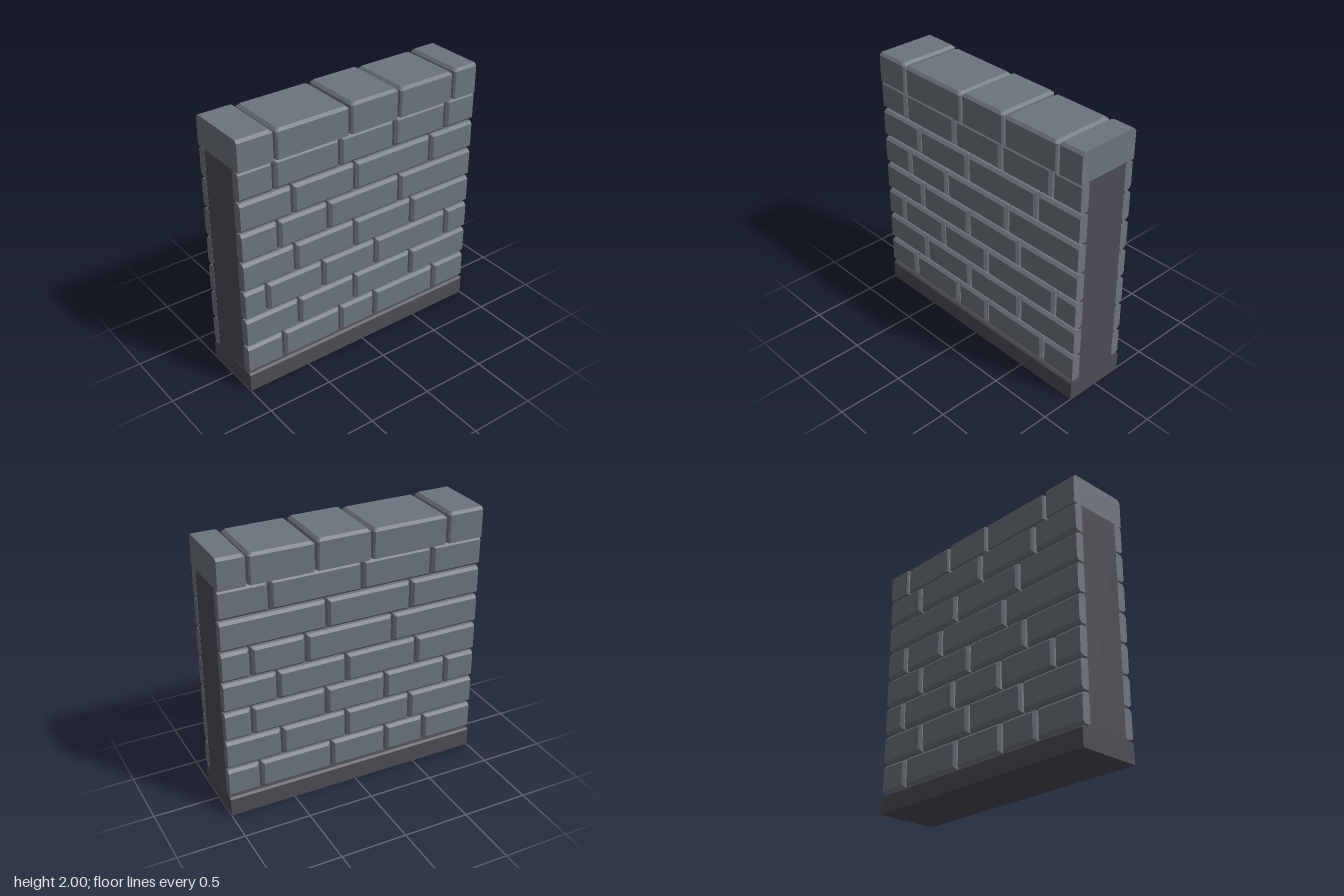
import * as THREE from 'three';

const stone = new THREE.MeshStandardMaterial({ color: 0x6d747d });
stone.name = 'slate stone';
const mortar = new THREE.MeshStandardMaterial({ color: 0x4d4c55 });
mortar.name = 'dark mortar';

// Block along z with bevelled front and back rims; sides lying on the wall ends stay flush
function block(x0, x1, y0, y1, z0, z1, bevel, backBevel, cut) {
  const l = x0 <= -0.999 ? 0 : 1, r = x1 >= 0.999 ? 0 : 1;
  const ring = (inset, z) => {
    const a = x0 + inset * l, b = x1 - inset * r, c = y0 + inset, d = y1 - inset;
    const p = cut * l, q = cut * r;
    return [[a + p, c], [b - q, c], [b, c + q], [b, d - q], [b - q, d], [a + p, d], [a, d - p], [a, c + p]]
      .map(([x, y]) => [x, y, z]);
  };
  const rings = [ring(backBevel, z0), ring(0, z0 + backBevel), ring(0, z1 - bevel), ring(bevel, z1)];
  const pos = [];
  const tri = (a, b, c) => pos.push(...a, ...b, ...c);
  for (let k = 0; k < 3; k++) {
    for (let i = 0; i < 8; i++) {
      const j = (i + 1) % 8, A = rings[k], B = rings[k + 1];
      tri(A[i], A[j], B[j]);
      tri(A[i], B[j], B[i]);
    }
  }
  for (let i = 1; i < 7; i++) {
    tri(rings[3][0], rings[3][i], rings[3][i + 1]);
    tri(rings[0][0], rings[0][i + 1], rings[0][i]);
  }
  const geo = new THREE.BufferGeometry();
  geo.setAttribute('position', new THREE.Float32BufferAttribute(pos, 3));
  geo.computeVertexNormals();
  return geo;
}

function add(parent, name, geo, mat) {
  const mesh = new THREE.Mesh(geo, mat);
  mesh.name = name;
  parent.add(mesh);
  return mesh;
}

// Calls fn for every span between neighbouring joints, leaving a gap at each joint
function spans(joints, gap, fn) {
  const e = [-1, ...joints, 1];
  for (let i = 0; i < e.length - 1; i++) {
    fn(e[i] + (i ? gap / 2 : 0), e[i + 1] - (i < e.length - 2 ? gap / 2 : 0), i);
  }
}

// Vertical joints of each course, bottom to top, as seen facing each side
const frontJoints = [
  [-0.7, -0.2, 0.12, 0.7],
  [-0.56, -0.07, 0.46],
  [-0.82, -0.35, 0.12, 0.8],
  [-0.58, -0.07, 0.45],
  [-0.71, -0.3, 0.33],
  [-0.59, -0.07, 0.61],
  [-0.73, -0.2, 0.27, 0.74],
];
const backJoints = [
  [-0.755, -0.19, 0.26, 0.59],
  [-0.58, -0.07, 0.46],
  [-0.8, -0.23, 0.25, 0.76],
  [-0.6, -0.07, 0.5],
  [-0.79, -0.38, 0.3],
  [-0.22, 0.44],
  [-0.64, 0.05, 0.6],
];

function brickFace(name, courses, depth) {
  const face = new THREE.Group();
  face.name = name;
  courses.forEach((joints, row) => {
    const y = 0.16 + row * 0.2325;
    spans(joints, 0.016, (a, b) =>
      add(face, 'brick', block(a, b, y, y + 0.217, 0.17, depth, 0.02, 0.012, 0.004), stone));
  });
  return face;
}

export function createModel() {
  const wall = new THREE.Group();
  wall.name = 'brickWall';

  // Mortar core, just inside the brick ends
  const core = add(wall, 'core', new THREE.BoxGeometry(1.997, 1.685, 0.376), mortar);
  core.position.y = 0.9425;

  // Plinth with a bevelled top rim
  add(wall, 'plinth', block(-1, 1, -0.245, 0.245, 0, 0.15, 0.014, 0, 0).rotateX(-Math.PI / 2), mortar);

  // Brick courses on both sides
  wall.add(brickFace('frontBricks', frontJoints, 0.24));
  const back = brickFace('backBricks', backJoints, 0.237);
  back.rotation.y = Math.PI;
  wall.add(back);

  // Coping stones of slightly uneven height
  const tops = [2, 1.99, 2, 1.992, 2];
  spans([-0.717, -0.12, 0.3, 0.79], 0.018, (a, b, i) =>
    add(wall, 'copingStone',
      block(a, b, -0.245, 0.245, 1.773, tops[i], 0.02, 0, 0.012).rotateX(-Math.PI / 2), stone));

  return wall;
}
